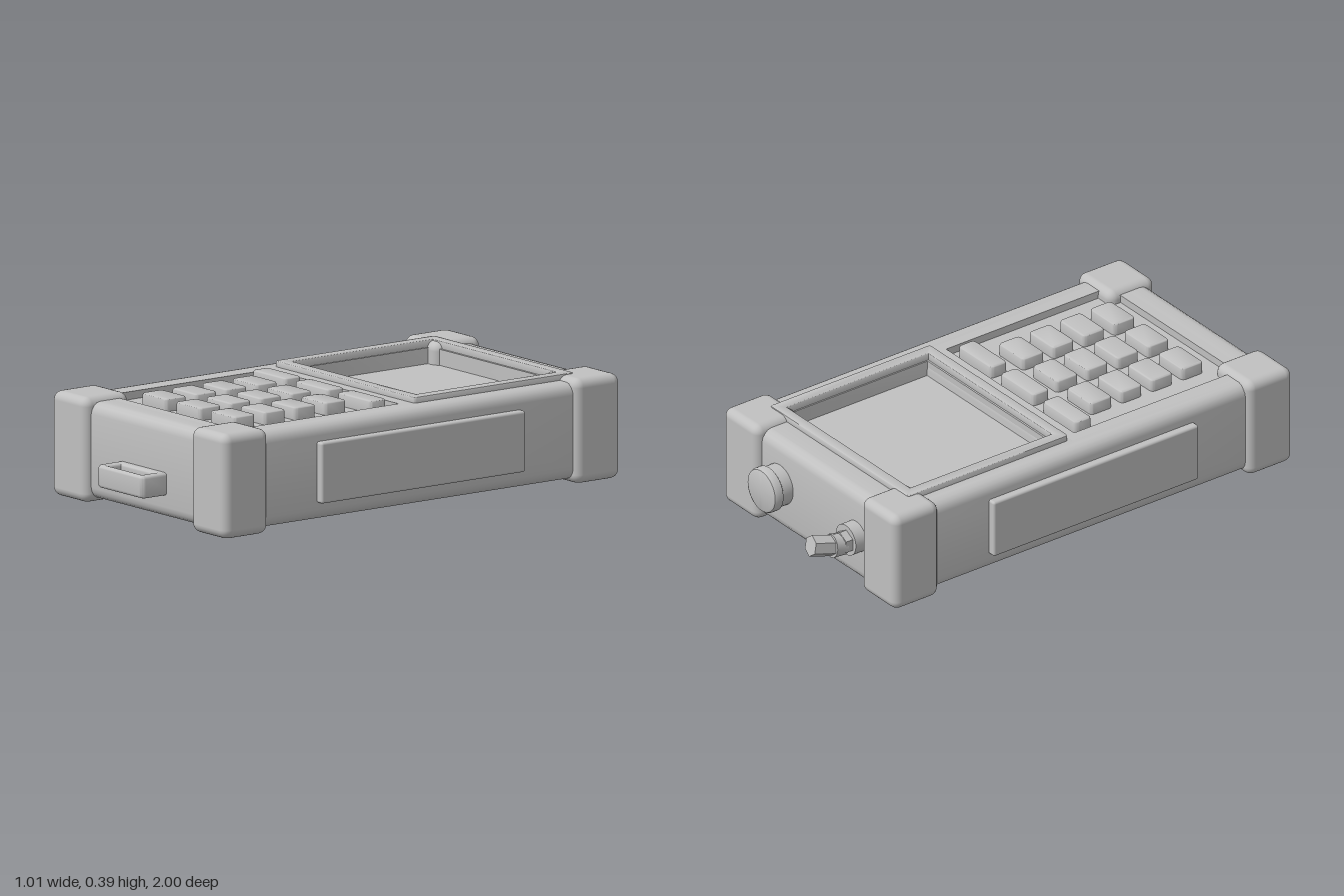
import * as THREE from 'three';
import { toCreasedNormals } from 'three/addons/utils/BufferGeometryUtils.js';
import { RoundedBoxGeometry } from 'three/addons/geometries/RoundedBoxGeometry.js';

const grey = new THREE.MeshStandardMaterial({ color: 0xc0c0c0 });
grey.name = 'plain grey';

// Rounded rectangle seen from above, spanning x0..x1 and z0..z1
function outline(path, x0, x1, z0, z1, r) {
  const a = -z1, b = -z0;
  path.moveTo(x0 + r, a);
  path.lineTo(x1 - r, a);
  path.quadraticCurveTo(x1, a, x1, a + r);
  path.lineTo(x1, b - r);
  path.quadraticCurveTo(x1, b, x1 - r, b);
  path.lineTo(x0 + r, b);
  path.quadraticCurveTo(x0, b, x0, b - r);
  path.lineTo(x0, a + r);
  path.quadraticCurveTo(x0, a, x0 + r, a);
  return path;
}

// Horizontal slab from y0 to y1 with a rounded edge and optional holes [x0, x1, z0, z1, r]
function slab([x0, x1, z0, z1, r], y0, y1, bevel, ...holes) {
  const b = bevel;
  const shape = outline(new THREE.Shape(), x0 + b, x1 - b, z0 + b, z1 - b, r);
  for (const hole of holes) shape.holes.push(outline(new THREE.Path(), ...hole));
  const geo = new THREE.ExtrudeGeometry(shape, {
    depth: y1 - y0 - 2 * b, bevelEnabled: b > 0, bevelSize: b, bevelThickness: b,
    bevelSegments: 4, curveSegments: 5,
  });
  geo.rotateX(-Math.PI / 2).translate(0, y0 + b, 0);
  return toCreasedNormals(geo, 0.6);
}

// Rounded block given by its limits
function block(x0, x1, y0, y1, z0, z1, r) {
  const geo = new RoundedBoxGeometry(x1 - x0, y1 - y0, z1 - z0, 3, r);
  return geo.translate((x0 + x1) / 2, (y0 + y1) / 2, (z0 + z1) / 2);
}

export function createModel() {
  const model = new THREE.Group();
  model.name = 'handheldInstrument';
  const add = (name, geo, parent = model) => {
    const mesh = new THREE.Mesh(geo, grey);
    mesh.name = name;
    parent.add(mesh);
    return mesh;
  };

  // Case with wells for the screen and the keypad
  const screenWell = [-0.39, 0.39, -0.685, 0, 0.001];
  const keyWell = [-0.407, 0.407, 0.02, 0.805, 0.001];
  add('case', slab([-0.475, 0.475, -0.8, 0.895, 0.02], 0.025, 0.366, 0.04, screenWell, keyWell));
  add('screen', slab(screenWell, 0.025, 0.303, 0));
  add('screenWell', slab([-0.385, 0.385, -0.68, -0.005, 0.005], 0.295, 0.36, 0,
    [-0.348, 0.348, -0.64, -0.038, 0.004]));
  add('screenBezel', slab([-0.397, 0.397, -0.69, 0.01, 0.008], 0.35, 0.387, 0.004,
    [-0.357, 0.357, -0.653, -0.027, 0.004]));

  // Corner bumpers
  for (const s of [-1, 1]) {
    const side = s > 0 ? 'left' : 'right';
    const [x0, x1] = s > 0 ? [0.296, 0.496] : [-0.496, -0.296];
    add(side + 'FrontBumper', block(x0, x1, 0.01, 0.383, 0.723, 0.921, 0.032));
    add(side + 'BackBumper', block(x0, x1, 0.01, 0.383, -0.824, -0.625, 0.032));
    // Side grip
    const [g0, g1] = s > 0 ? [0.45, 0.504] : [-0.504, -0.45];
    add(side + 'Grip', block(g0, g1, 0.088, 0.305, -0.397, 0.5, 0.009));
  }

  // Sunken keypad
  const keypad = new THREE.Group();
  keypad.name = 'keypad';
  model.add(keypad);
  add('keypadFloor', slab(keyWell, 0.025, 0.338, 0), keypad);
  add('keypadRim', slab(keyWell, 0.3, 0.366, 0, [-0.367, 0.367, 0.058, 0.767, 0.004]), keypad);
  const key = (name, x, z, w, d) => add(name,
    slab([x - w / 2, x + w / 2, z - d / 2, z + d / 2, 0.01], 0.325, 0.383, 0.008), keypad);
  for (const i of [-1, 0, 1]) {
    key('functionKey', i * 0.242, 0.122, 0.194, 0.072);
    for (let row = 0; row < 4; row++) key('key', i * 0.195, 0.255 + row * 0.133, 0.146, 0.094);
  }

  // Strap loop at the front
  add('strapLoop', slab([-0.132, 0.132, 0.86, 1, 0.008], 0.107, 0.188, 0.012,
    [-0.11, 0.11, 0.906, 0.988, 0.006]));

  // Underside cover with its screws
  add('batteryCover', slab([-0.333, 0.333, -0.397, 0.59, 0.006], 0.009, 0.04, 0.003));
  for (const x of [-0.279, 0.279]) {
    for (const z of [-0.325, 0.53]) {
      add('coverScrew', toCreasedNormals(
        new THREE.CylinderGeometry(0.027, 0.024, 0.02, 20).translate(x, 0.01, z), 0.6));
    }
  }

  // Round capped socket at the back
  const profile = [[0, 0], [0.076, 0], [0.076, 0.045], [0.083, 0.05], [0.083, 0.075],
    [0.079, 0.083], [0.07, 0.087], [0, 0.087]].map(([r, y]) => new THREE.Vector2(r, y));
  const cap = add('socketCap', toCreasedNormals(new THREE.LatheGeometry(profile, 32), 0.6));
  cap.rotation.x = -Math.PI / 2;
  cap.position.set(0.195, 0.203, -0.798);

  // Tilted antenna stub at the back
  const rod = (name, from, to, r0, r1, sides) => {
    const a = new THREE.Vector3(...from), b = new THREE.Vector3(...to);
    const dir = b.clone().sub(a);
    const geo = new THREE.CylinderGeometry(r1, r0, dir.length(), sides);
    const mesh = add(name, toCreasedNormals(geo, 0.6));
    mesh.position.copy(a).add(b).multiplyScalar(0.5);
    mesh.quaternion.setFromUnitVectors(new THREE.Vector3(0, 1, 0), dir.normalize());
  };
  rod('antennaBase', [-0.243, 0.195, -0.79], [-0.243, 0.195, -0.846], 0.058, 0.058, 24);
  rod('antennaNut', [-0.246, 0.193, -0.84], [-0.246, 0.193, -0.875], 0.043, 0.043, 6);
  rod('antennaCollar', [-0.246, 0.187, -0.86], [-0.242, 0.193, -0.91], 0.039, 0.043, 12);
  rod('antennaTip', [-0.242, 0.188, -0.89], [-0.227, 0.213, -0.988], 0.039, 0.039, 6);
  return model;
}
